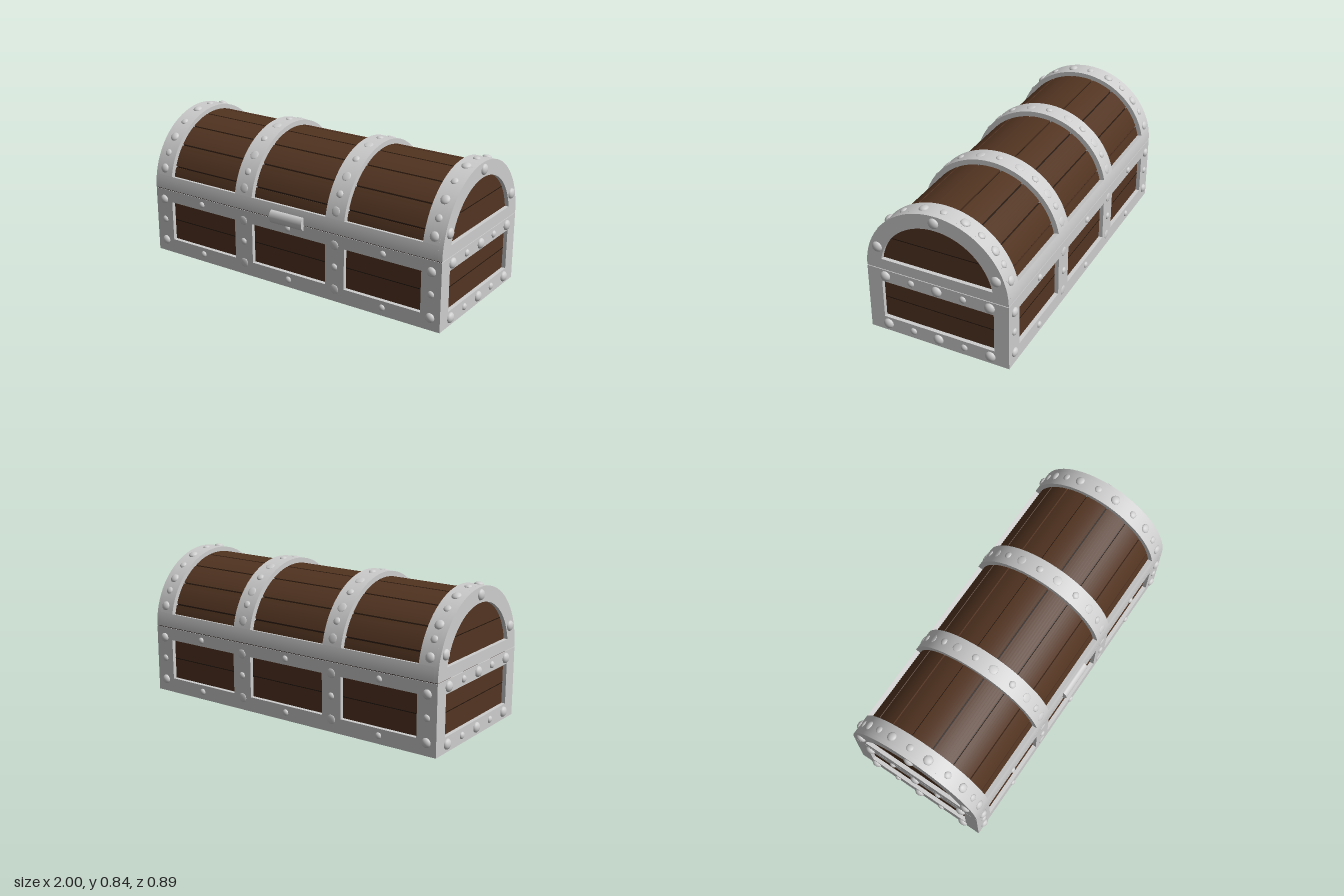
import * as THREE from 'three';
import { toCreasedNormals } from 'three/addons/utils/BufferGeometryUtils.js';

const HALF_X = 0.98, HALF_Z = 0.422, BODY_H = 0.4, T = 0.025;
const LID_Y = 0.404, R_OUT = 0.422, R_WOOD = 0.395;
const rad = THREE.MathUtils.degToRad;

export function createModel() {
  const chest = new THREE.Group();
  chest.name = 'chest';
  const material = (name, color) => {
    const m = new THREE.MeshStandardMaterial({ color });
    m.name = name;
    return m;
  };
  const metal = material('pale metal', 0xcdcdcd);
  const wood = material('brown wood', 0x523421);
  const dark = material('dark groove', 0x21140c);

  function add(name, geometry, mat, x = 0, y = 0, z = 0) {
    const mesh = new THREE.Mesh(geometry, mat);
    mesh.name = name;
    mesh.position.set(x, y, z);
    chest.add(mesh);
    return mesh;
  }
  const box = (name, w, h, d, mat, x, y, z) => add(name, new THREE.BoxGeometry(w, h, d), mat, x, y, z);

  // rectangle outline from two corners
  function rect(Type, x0, y0, x1, y1) {
    return new Type().moveTo(x0, y0).lineTo(x1, y0).lineTo(x1, y1).lineTo(x0, y1).closePath();
  }
  // extrusion centred on its depth
  function slab(shape, depth, curveSegments = 24) {
    const g = new THREE.ExtrudeGeometry(shape, { depth, bevelEnabled: false, curveSegments });
    g.translate(0, 0, -depth / 2);
    return toCreasedNormals(g, 0.5);
  }
  // ring sector in the end plane, extruded along x
  function arc(name, r0, r1, a0, a1, width, mat, x, segments) {
    const s = new THREE.Shape();
    s.absarc(0, 0, r1, rad(a0), rad(a1), false);
    s.absarc(0, 0, r0, rad(a1), rad(a0), true);
    s.closePath();
    return add(name, slab(s, width, segments).rotateY(Math.PI / 2), mat, x, LID_Y, 0);
  }
  // domed rivet pointing along a normal
  const dome = new THREE.SphereGeometry(1, 18, 6, 0, Math.PI * 2, 0, Math.PI / 2);
  const up = new THREE.Vector3(0, 1, 0);
  function rivet(x, y, z, nx, ny, nz, r, h) {
    const m = add('rivet', dome, metal, x, y, z);
    m.scale.set(r, h, r);
    m.quaternion.setFromUnitVectors(up, new THREE.Vector3(nx, ny, nz).normalize());
  }

  // wooden body with plank grooves
  box('bodyWood', 1.914, 0.386, 0.796, wood, 0, 0.202, 0);
  box('bodyGroove', 1.917, 0.004, 0.799, dark, 0, 0.21, 0);
  for (let i = -3; i <= 3; i++) box('bottomGroove', 1.9, 0.004, 0.004, dark, 0, 0.01, i * 0.1);

  // metal frames on the long sides
  const sideShape = rect(THREE.Shape, -HALF_X, 0, HALF_X, BODY_H);
  for (const [a, b] of [[-0.86, -0.378], [-0.253, 0.253], [0.378, 0.86]]) {
    sideShape.holes.push(rect(THREE.Path, a, 0.087, b, 0.327));
  }
  const sideFrame = slab(sideShape, T);

  // metal frames on the short ends
  const endShape = rect(THREE.Shape, -HALF_Z + T, 0, HALF_Z - T, BODY_H);
  endShape.holes.push(rect(THREE.Path, -0.335, 0.088, 0.335, 0.324));
  const endFrame = slab(endShape, T).rotateY(Math.PI / 2);

  // arched frame of the lid ends
  const archShape = new THREE.Shape().absarc(0, 0, R_OUT, 0, Math.PI, false).closePath();
  const r = 0.336, low = Math.asin(0.063 / r);
  const opening = new THREE.Path();
  opening.absarc(0, 0, r, low, Math.PI - low, false);
  opening.closePath();
  archShape.holes.push(opening);
  const archFrame = slab(archShape, T).rotateY(Math.PI / 2);

  // lid core, dark between the planks, with wooden ends
  const half = new THREE.Shape().absarc(0, 0, 0.385, 0, Math.PI, false).closePath();
  add('lidCore', slab(half, 1.9).rotateY(Math.PI / 2), dark, 0, LID_Y, 0);
  const endWood = slab(half, 0.01).rotateY(Math.PI / 2);

  for (const s of [-1, 1]) {
    add('sideFrame', sideFrame, metal, 0, 0, s * (HALF_Z - T / 2));
    add('endFrame', endFrame, metal, s * (HALF_X - T / 2), 0, 0);
    add('lidEndFrame', archFrame, metal, s * (HALF_X - T / 2), LID_Y, 0);
    add('lidEndWood', endWood, wood, s * 0.952, LID_Y, 0);
    box('lidEndGroove', 0.004, 0.004, 0.58, dark, s * 0.9565, 0.601, 0);
  }

  // curved lid planks
  for (let i = 0; i < 9; i++) {
    arc('lidPlank', 0.37, R_WOOD, i * 20 + 0.6, i * 20 + 19.4, 1.908, wood, 0, 4);
  }

  // lid rims and hoops
  const rimAngle = 11.2, inner = HALF_X - T;
  arc('frontRim', 0.38, R_OUT, 0, rimAngle, inner * 2, metal, 0, 4);
  arc('backRim', 0.38, R_OUT, 180 - rimAngle, 180, inner * 2, metal, 0, 4);
  for (const s of [-1, 1]) {
    arc('endHoop', 0.38, R_OUT, rimAngle, 180 - rimAngle, inner - 0.86, metal, s * (inner + 0.86) / 2, 30);
    arc('middleHoop', 0.38, R_OUT + 0.003, rimAngle, 180 - rimAngle, 0.122, metal, s * 0.315, 30);
  }
  // shadow seam under the lid
  box('lidSeam', 1.95, 0.006, 0.838, dark, 0, 0.402, 0);

  // hoop rivets, large and small in turn
  const angles = [17, 30, 44, 60, 78, 94, 111, 125, 139, 150, 163];
  for (const x of [-0.92, -0.315, 0.315, 0.92]) {
    const middle = Math.abs(x) < 0.5;
    angles.forEach((a, i) => {
      const c = Math.cos(rad(a)), n = Math.sin(rad(a)), big = i % 2 === 0;
      const R = R_OUT - 0.001 + (middle ? 0.003 : 0);
      rivet(x, LID_Y + n * R, c * R, 0, n, c, big ? 0.027 : 0.021, big ? (middle ? 0.006 : 0.015) : 0.011);
    });
  }

  for (const s of [-1, 1]) {
    const z = s * HALF_Z;
    // rivets on the long sides
    for (const x of [-0.92, -0.315, 0.315, 0.92]) {
      const h = Math.abs(x) < 0.5 ? 0.006 : 0.018;
      rivet(x, 0.336, z, 0, 0, s, 0.027, h);
      rivet(x, 0.207, z, 0, 0, s, 0.02, 0.012);
      rivet(x, 0.073, z, 0, 0, s, 0.027, h);
    }
    for (const x of [-0.625, 0, 0.625]) {
      for (const y of [0.047, 0.362]) rivet(x, y, z, 0, 0, s, 0.019, 0.013);
    }
    // rivets on the ends
    for (const y of [0.046, 0.362]) {
      for (const k of [-0.312, 0, 0.312]) rivet(s * HALF_X, y, k, s, 0, 0, 0.03, 0.02);
      for (const k of [-0.155, 0.155]) rivet(s * HALF_X, y, k, s, 0, 0, 0.02, 0.013);
    }
    rivet(s * HALF_X, 0.784, 0, s, 0, 0, 0.03, 0.018);
    for (const k of [-0.35, 0.35]) rivet(s * HALF_X, 0.54, k, s, 0, 0, 0.03, 0.018);
  }

  // rounded latch
  const latch = new THREE.CylinderGeometry(1, 1, 0.22, 24).rotateZ(Math.PI / 2);
  latch.scale(1, 0.038, 0.025);
  add('latch', latch, metal, 0, 0.411, HALF_Z);

  return chest;
}
